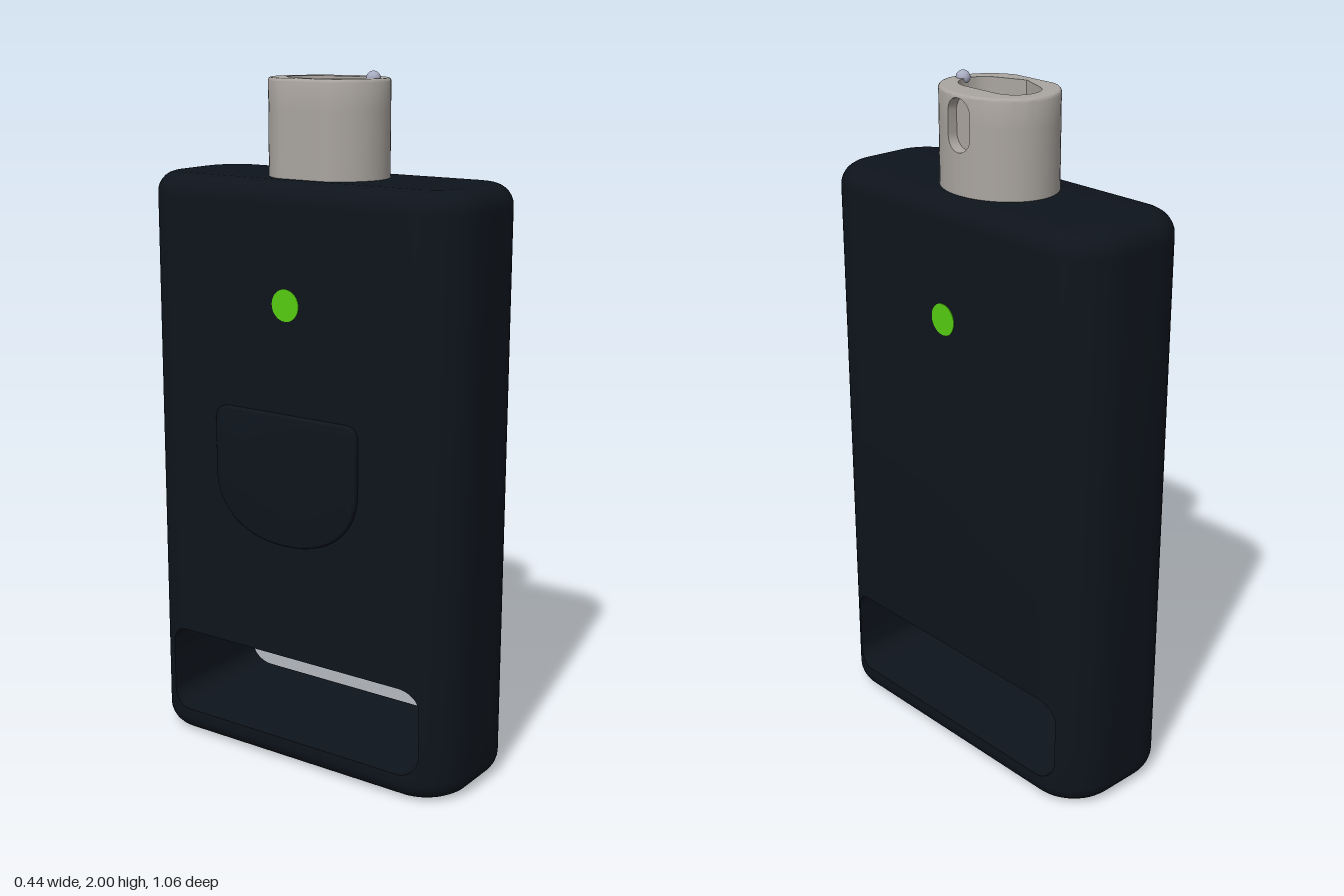
import * as THREE from 'three';
import { toCreasedNormals } from 'three/addons/utils/BufferGeometryUtils.js';

const CX = 0.005; // centre line of the case in x
const dark = new THREE.MeshStandardMaterial({ color: 0x0e141c });
const metal = new THREE.MeshStandardMaterial({ color: 0xaaa5a0 });
const green = new THREE.MeshStandardMaterial({ color: 0x55cc11 });
const steel = new THREE.MeshStandardMaterial({ color: 0xa9adc2 });

function part(group, name, geometry, material, x = 0, y = 0, z = 0) {
  const mesh = new THREE.Mesh(geometry, material);
  mesh.name = name;
  mesh.position.set(x, y, z);
  group.add(mesh);
  return mesh;
}

// collects quads and turns them into a creased geometry
function builder() {
  const pos = [];
  const tri = (a, b, c) => pos.push(...a, ...b, ...c);
  return {
    tri,
    quad(a, b, c, d) { tri(a, b, c); tri(a, c, d); },
    build() {
      const g = new THREE.BufferGeometry();
      g.setAttribute('position', new THREE.Float32BufferAttribute(pos, 3));
      return toCreasedNormals(g, 0.6);
    },
  };
}

// Upright hull from columns {x, z, nx, nz, lo, hi}; the gap lo..hi is an opening
// whose walls run inwards to innerX (with a floor there if wanted).
function hull(cols, { y0, y1, r, steps, base, innerX, floor }) {
  const b = builder();
  const at = (c, inset, y) => [c.x - c.nx * inset, y, c.z - c.nz * inset];
  const arc = [...Array(steps + 1).keys()].map((i) => (i / steps) * Math.PI / 2);
  const lower = (c) => [
    ...(base ? arc.map((a) => at(c, r * (1 - Math.sin(a)), y0 + r * (1 - Math.cos(a)))) : [at(c, 0, y0)]),
    at(c, 0, c.lo)];
  const upper = (c) => [at(c, 0, c.hi),
    ...arc.map((a) => at(c, r * (1 - Math.cos(a)), y1 - r * (1 - Math.sin(a))))];
  cols.forEach((c, i) => {
    const d = cols[(i + 1) % cols.length];
    const same = Math.abs(c.x - d.x) + Math.abs(c.z - d.z) < 1e-6;
    if (!same) {
      for (const f of [lower, upper]) {
        const p = f(c), q = f(d);
        for (let k = 0; k < p.length - 1; k++) b.quad(p[k], q[k], q[k + 1], p[k + 1]);
      }
      if (base) {
        b.tri(at(c, r, y1), at(d, r, y1), [CX, y1, 0]);
        b.tri(at(d, r, y0), at(c, r, y0), [CX, y0, 0]);
      }
    }
    if (c.hi > c.lo || d.hi > d.lo) {
      const inner = (e, y) => [innerX, y, e.z];
      b.quad(at(c, 0, c.lo), at(d, 0, d.lo), inner(d, d.lo), inner(c, c.lo));
      b.quad(inner(c, c.hi), inner(d, d.hi), at(d, 0, d.hi), at(c, 0, c.hi));
      if (floor && !same) b.quad(inner(c, c.lo), inner(d, d.lo), inner(d, d.hi), inner(c, c.hi));
    }
  });
  return b.build();
}

// columns of the case: rounded plan with a strap opening through the bottom
function caseColumns() {
  const R = 0.15, halfX = 0.21, flat = 0.38, slotR = 0.06, N = 10;
  const column = (z, lo, hi) => {
    const over = Math.max(0, Math.abs(z) - flat);
    const dx = Math.sqrt(Math.max(0, R * R - over * over));
    return { x: halfX - R + dx, z, nx: dx / R, nz: Math.sign(z) * over / R, lo, hi };
  };
  const end = [];
  for (let i = 0; i <= 12; i++) {
    const z = flat + R * Math.cos((i / 12) * Math.PI / 2);
    if (z > flat + slotR + 0.003) end.push(column(z, 0.21, 0.21));
  }
  end.push(column(flat + slotR, 0.21, 0.21));
  for (let i = N; i >= 0; i--) {
    const a = (i / N) * Math.PI / 2, rise = slotR * (1 - Math.cos(a));
    end.push(column(flat + slotR * Math.sin(a), 0.08 + rise, 0.34 - rise));
  }
  const half = [...end, ...end.map((c) => ({ ...c, z: -c.z, nz: -c.nz })).reverse()];
  const turn = half.map((c) => ({ ...c, x: -c.x, z: -c.z, nx: -c.nx, nz: -c.nz }));
  return [...half, ...turn].map((c) => ({ ...c, x: c.x + CX }));
}

// columns of the neck: oval with one flattened side and a stadium-shaped keyway
function neckColumns() {
  const A = 0.15, B = 0.178, w = 0.0425, mid = 1.8975, edge = Math.asin(w / B);
  const column = (t, open = 0, rise = 0) => ({
    x: Math.max(-0.13, CX + A * Math.cos(t)), z: B * Math.sin(t),
    nx: Math.cos(t), nz: Math.sin(t),
    lo: mid - open - rise, hi: mid + open + rise,
  });
  const cols = [column(edge)];
  for (let i = 0; i <= 16; i++) {
    const a = Math.PI / 2 - (i / 16) * Math.PI;
    cols.push(column(Math.asin((w * Math.sin(a)) / B), 0.03, w * Math.cos(a)));
  }
  const N = 56;
  for (let i = 0; i < N; i++) cols.push(column(-edge - (i / N) * (2 * Math.PI - 2 * edge)));
  return cols;
}

// outline of the plug well: two round ends, pointed towards -x
function wellOutline() {
  const pts = [], N = 20, sweep = 2.75;
  for (let i = 0; i <= N; i++) {
    const a = (i / N) * sweep;
    pts.push(new THREE.Vector2(CX + 0.07 * Math.cos(a), 0.06 + 0.07 * Math.sin(a)));
  }
  pts.push(new THREE.Vector2(-0.09, 0.012));
  const mirrored = pts.map((p) => new THREE.Vector2(p.x, -p.y)).reverse();
  return [...pts, new THREE.Vector2(-0.094, 0), ...mirrored];
}

const lathe = (profile) => toCreasedNormals(
  new THREE.LatheGeometry(profile.map(([x, y]) => new THREE.Vector2(x, y)), 32), 0.6);

export function createModel() {
  const model = new THREE.Group();

  // case with strap opening
  part(model, 'case', hull(caseColumns(), {
    y0: 0, y1: 1.71, r: 0.06, steps: 7, base: true, innerX: CX }), dark);

  // indicator lights on both broad faces
  for (const side of [1, -1]) {
    const disc = new THREE.CylinderGeometry(0.045, 0.045, 0.006, 40).rotateZ(Math.PI / 2);
    part(model, side > 0 ? 'leftLight' : 'rightLight', disc, green, CX + side * 0.209, 1.375, 0);
  }

  // raised shield-shaped plate on the -x face
  const shield = new THREE.Shape();
  shield.moveTo(-0.2, 1.06);
  shield.quadraticCurveTo(-0.235, 1.06, -0.235, 1.025);
  shield.lineTo(-0.235, 0.88);
  shield.bezierCurveTo(-0.235, 0.75, -0.13, 0.69, 0, 0.69);
  shield.bezierCurveTo(0.13, 0.69, 0.235, 0.75, 0.235, 0.88);
  shield.lineTo(0.235, 1.025);
  shield.quadraticCurveTo(0.235, 1.06, 0.2, 1.06);
  const plate = new THREE.ExtrudeGeometry(shield, {
    depth: 0.012, bevelSize: 0.007, bevelThickness: 0.007, bevelSegments: 3, curveSegments: 16 });
  part(model, 'plate', toCreasedNormals(plate.rotateY(-Math.PI / 2), 0.6), dark, -0.201, 0, 0);

  // neck: outer wall with keyway, top face, and the well sunk into it
  const neck = new THREE.Group();
  neck.name = 'neck';
  model.add(neck);
  const rim = 0.008, top = 1.98, floorY = 1.9;
  const cols = neckColumns(), well = wellOutline();
  part(neck, 'neckWall', hull(cols, {
    y0: 1.7, y1: top, r: rim, steps: 3, innerX: 0.12, floor: true }), metal);

  const face = new THREE.Shape(cols.map((c) => new THREE.Vector2(c.x - rim * c.nx, c.z - rim * c.nz)));
  face.holes.push(new THREE.Path(well));
  part(neck, 'neckFace', new THREE.ShapeGeometry(face).rotateX(-Math.PI / 2), metal, 0, top, 0);

  const walls = builder();
  well.forEach((p, i) => {
    const q = well[(i + 1) % well.length];
    walls.quad([p.x, floorY, p.y], [q.x, floorY, q.y], [q.x, top, q.y], [p.x, top, p.y]);
  });
  part(neck, 'wellWall', walls.build(), metal);
  part(neck, 'wellFloor', new THREE.ShapeGeometry(new THREE.Shape(well)).rotateX(-Math.PI / 2), metal, 0, floorY, 0);

  // two concentric sockets
  for (const z of [-0.06, 0.06]) {
    const socket = new THREE.Group();
    socket.name = 'socket';
    socket.position.set(CX, floorY, z);
    neck.add(socket);
    part(socket, 'insulator', lathe([[0.053, 0], [0.053, 0.035], [0.031, 0.035], [0.031, 0.005], [0, 0.005]]), dark);
    part(socket, 'sleeve', lathe([[0.027, 0.005], [0.027, 0.03], [0.021, 0.03], [0.021, 0.01], [0, 0.01]]), metal);
    part(socket, 'pin', new THREE.CylinderGeometry(0.017, 0.017, 0.022, 24), metal, 0, 0.017, 0);
    part(socket, 'pinTip', new THREE.CylinderGeometry(0.008, 0.008, 0.006, 20), green, 0, 0.028, 0);
  }

  // locating ball on the neck face
  part(neck, 'locatingBall', new THREE.SphereGeometry(0.02, 24, 16), steel, CX, top, 0.145);

  return model;
}
